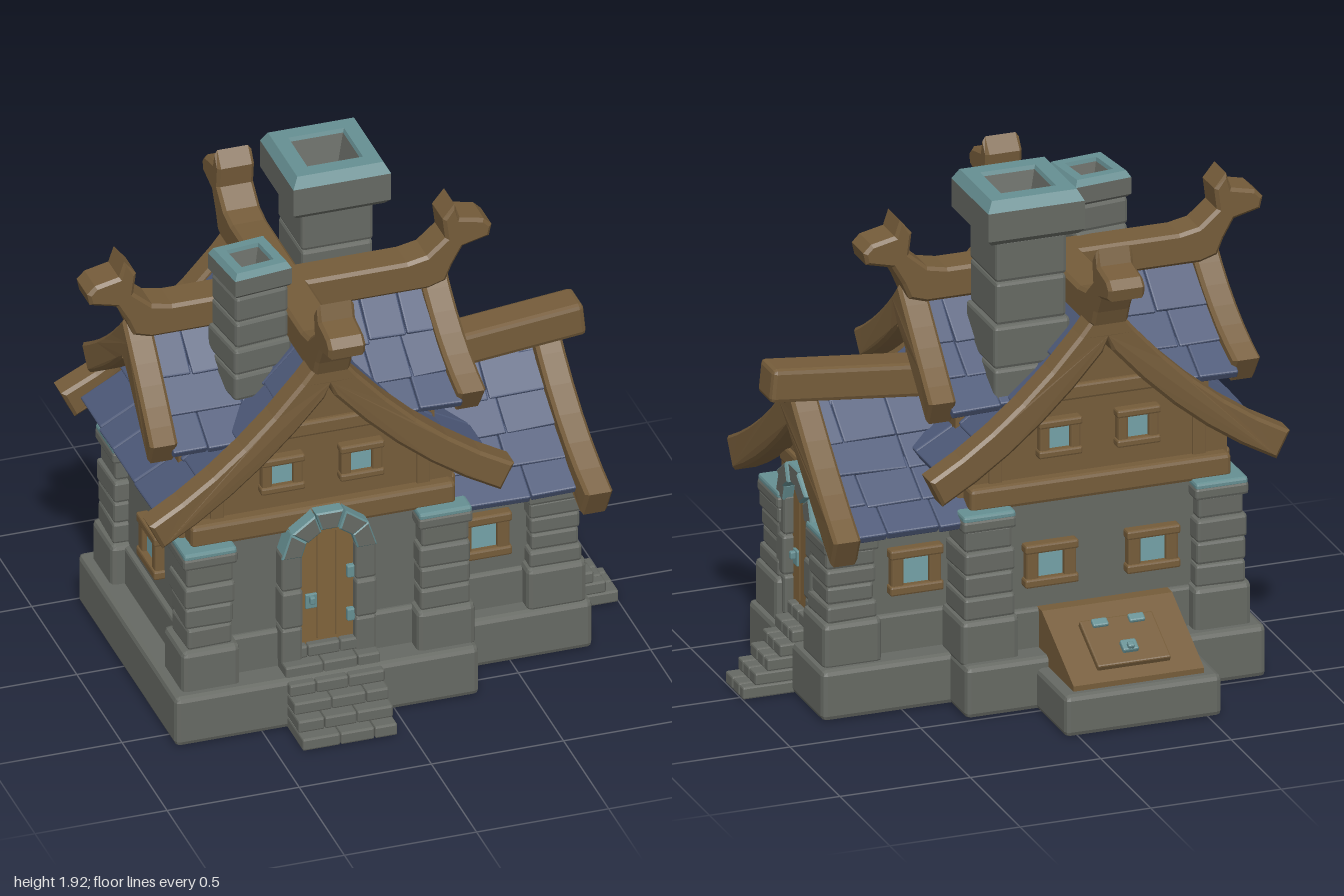
import * as THREE from 'three';
import { RoundedBoxGeometry } from 'three/addons/geometries/RoundedBoxGeometry.js';

const CX = -0.235, CZ = 0.055; // where the two main ridges cross
const flat = (color, name) => {
  const m = new THREE.MeshStandardMaterial({ color, flatShading: true });
  m.name = name;
  return m;
};

export function createModel() {
  const root = new THREE.Group();
  const stone = flat(0x666963, 'stone'), wood = flat(0x755c3a, 'wood'), doorWood = flat(0x80633b, 'doorWood');
  const slate = flat(0x4c5877, 'slate'), trim = flat(0x668f92, 'paleStone'), glass = flat(0x74a2a8, 'glass');

  let seed = 7;
  const rnd = (a, b) => {
    seed = (seed * 16807) % 2147483647;
    return a + (b - a) * seed / 2147483647;
  };
  const add = (parent, name, geo, mat, x = 0, y = 0, z = 0) => {
    const m = new THREE.Mesh(geo, mat);
    m.name = name;
    m.position.set(x, y, z);
    parent.add(m);
    return m;
  };
  const group = (name, x = 0, y = 0, z = 0, ry = 0, parent = root) => {
    const g = new THREE.Group();
    g.name = name;
    g.position.set(x, y, z);
    g.rotation.y = ry;
    parent.add(g);
    return g;
  };
  // chamfered block given by its centre
  const block = (parent, name, mat, w, h, d, x, y, z, r = 0.012) =>
    add(parent, name, new RoundedBoxGeometry(w, h, d, 1, Math.min(r, w / 3, h / 3, d / 3)), mat, x, y, z);
  // chamfered block given by its limits
  const span = (parent, name, mat, x0, x1, y0, y1, z0, z1, r) =>
    block(parent, name, mat, x1 - x0, y1 - y0, z1 - z0, (x0 + x1) / 2, (y0 + y1) / 2, (z0 + z1) / 2, r);
  const poly = pts => new THREE.Shape(pts.map(p => new THREE.Vector2(p[0], p[1])));
  const mirrored = half => [...half, ...half.slice().reverse().map(([x, y]) => [-x, y])];
  const prism = (parent, name, mat, pts, z0, z1, bevel = 0) => add(parent, name,
    new THREE.ExtrudeGeometry(poly(pts), { depth: z1 - z0 - 2 * bevel, bevelEnabled: bevel > 0, bevelSize: bevel,
      bevelThickness: bevel, bevelOffset: -bevel, bevelSegments: 1 }), mat, 0, 0, z0 + bevel);

  // Plinth, base courses and stone walls
  const base = group('stoneBase');
  span(base, 'mainPlinth', stone, -0.83, 0.32, 0.01, 0.21, -0.49, 0.6, 0.02);
  span(base, 'wingPlinth', stone, 0.2, 0.81, 0.01, 0.205, -0.33, 0.42, 0.02);
  span(base, 'mainCourse', stone, -0.74, 0.27, 0.18, 0.36, -0.39, 0.49);
  span(base, 'wingCourse', stone, 0.1, 0.715, 0.18, 0.35, -0.235, 0.345);
  span(base, 'mainWall', stone, -0.72, 0.25, 0.1, 0.78, -0.37, 0.47);
  span(base, 'wingWall', stone, 0.1, 0.7, 0.1, 0.73, -0.22, 0.33);

  // Corner pillars of stacked stones
  const pillar = (x, z, top, w) => {
    const g = group('cornerPillar', x, 0, z);
    block(g, 'footStone', stone, w + 0.035, 0.18, w + 0.035, 0, 0.28, 0, 0.02);
    const h = (top - 0.05 - 0.365) / 4;
    for (let i = 0; i < 4; i++) {
      const s = w + rnd(-0.014, 0.012);
      block(g, 'pillarStone', stone, s, h, s, 0, 0.365 + h * (i + 0.5), 0).rotation.y = rnd(-0.04, 0.04);
    }
    block(g, 'capStone', stone, w + 0.02, 0.05, w + 0.02, 0, top - 0.035, 0);
    block(g, 'capTop', trim, w + 0.015, 0.03, w + 0.015, 0, top - 0.008, 0);
  };
  for (const z of [0.45, -0.34]) for (const x of [-0.68, 0.21]) pillar(x, z, 0.765, 0.185);
  for (const z of [0.295, -0.185]) pillar(0.68, z, 0.69, 0.19);

  // Arched door with jambs, arch stones and steps; the wall is at local z = 0
  const entrance = (x, z, ry, stepW) => {
    const g = group('entrance', x, 0, z, ry);
    for (const s of [-1, 1]) {
      for (let i = 0; i < 3; i++) block(g, 'jambStone', stone, 0.08, 0.155, 0.08 + 0.01 * (i % 2), s * 0.14, 0.28 + 0.155 * (i + 0.5) - 0.05, 0.03);
    }
    for (let i = 0; i < 5; i++) {
      const a0 = Math.PI * i / 5 + 0.015, a1 = Math.PI * (i + 1) / 5 - 0.015;
      const pt = (r, a) => [r * Math.cos(a), 0.675 + r * Math.sin(a)];
      prism(g, 'archStone', [stone, trim], [pt(0.105, a0), pt(0.18, a0), pt(0.18, a1), pt(0.105, a1)], -0.02, 0.075 + 0.01 * (i % 2), 0.006);
    }
    const door = new THREE.Shape();
    door.moveTo(-0.11, 0.28);
    door.lineTo(0.11, 0.28);
    door.lineTo(0.11, 0.675);
    door.absarc(0, 0.675, 0.11, 0, Math.PI, false);
    add(g, 'door', new THREE.ExtrudeGeometry(door, { depth: 0.035, bevelEnabled: false, curveSegments: 5 }), doorWood);
    for (const px of [-0.035, 0.035]) block(g, 'doorGroove', wood, 0.006, 0.44, 0.006, px, 0.53, 0.036);
    for (const y of [0.39, 0.57]) block(g, 'hinge', trim, 0.03, 0.05, 0.03, 0.088, y, 0.04, 0.005);
    block(g, 'lockPlate', trim, 0.045, 0.06, 0.012, -0.06, 0.47, 0.04, 0.004);
    block(g, 'handle', trim, 0.02, 0.03, 0.03, -0.06, 0.48, 0.05, 0.005);
    for (let i = 0; i < 6; i++) { // steps of three bricks each
      const edge = 0.3 - 0.047 * i, cuts = [0, i % 2 ? 0.28 : 0.4, i % 2 ? 0.62 : 0.76, 1];
      for (let k = 0; k < 3; k++) {
        span(g, 'stepBrick', stone, (cuts[k] - 0.5) * stepW + 0.001, (cuts[k + 1] - 0.5) * stepW - 0.001,
          0.01 + 0.048 * i, 0.058 + 0.048 * i, -0.02, edge, 0.007);
      }
    }
  };
  entrance(-0.228, 0.47, 0, 0.36);
  entrance(0.7, 0.06, Math.PI / 2, 0.18);

  // Framed windows; the wall is at local z = 0
  const windowAt = (x, y, z, ry, w, h) => {
    const g = group('window', x, y, z, ry);
    block(g, 'pane', glass, w * 0.62, h * 0.72, 0.008, 0, 0, 0.012, 0.002);
    for (const s of [-1, 1]) {
      block(g, 'framePost', wood, w * 0.25, h, 0.045, s * w * 0.38, 0, 0.012, 0.008);
      block(g, 'frameRail', wood, w * 1.08, h * 0.22, 0.055, 0, s * h * 0.41, 0.014, 0.008);
    }
  };
  for (const dx of [-0.15, 0.15]) {
    windowAt(CX + dx, 1, 0.45, 0, 0.155, 0.14);
    windowAt(CX + dx, 1, -0.34, Math.PI, 0.155, 0.14);
    windowAt(CX + dx * 1.3, 0.53, -0.37, Math.PI, 0.19, 0.16);
  }
  windowAt(0.42, 0.515, 0.33, 0, 0.19, 0.17);
  windowAt(0.42, 0.515, -0.22, Math.PI, 0.19, 0.17);
  windowAt(-0.72, 0.53, CZ, -Math.PI / 2, 0.19, 0.17);
  windowAt(-0.72, 1.17, CZ, -Math.PI / 2, 0.15, 0.13);

  // Gabled roofs: ridge along local z, falling along +x and -x on a sagging curve
  const curveOf = r => new THREE.QuadraticBezierCurve(new THREE.Vector2(0, r.peak),
    new THREE.Vector2(r.ctrl[0], r.ctrl[1]), new THREE.Vector2(r.half, r.eave));
  const gableBoard = (parent, r, z, dir) => {
    const c = curveOf(r), top = c.getPoints(6), n = top.length - 1;
    const under = top.map((p, i) => {
      const t = c.getTangent(i / n);
      return i ? [p.x + t.y * r.board, p.y - t.x * r.board] : [0, p.y - r.board * 1.4];
    });
    const side = top.map(p => [p.x, p.y]);
    const pts = [...side, ...under.slice().reverse(), ...under.slice(1).map(([x, y]) => [-x, y]),
      ...side.slice(1).reverse().map(([x, y]) => [-x, y])];
    const m = prism(parent, 'gableBoard', wood, pts, z - 0.052, z + 0.052, 0.012);
    const p = m.geometry.attributes.position; // boards lean outward toward the eaves
    for (let i = 0; i < p.count; i++) p.setZ(i, p.getZ(i) + dir * 0.025 * (p.getX(i) / r.half) ** 2);
    m.geometry.computeVertexNormals();
  };
  const shingles = (parent, r, z0, z1, rows) => {
    const c = curveOf(r);
    for (const side of [0, Math.PI]) {
      const g = group('shingleSlope', 0, 0, 0, side, parent);
      const [a, b] = side ? [-z1, -z0] : [z0, z1];
      for (let i = 0; i < rows; i++) {
        const p = c.getPoint(i / rows * r.cover), q = c.getPoint((i + 1) / rows * r.cover);
        const ang = Math.atan2(q.y - p.y, q.x - p.x), len = p.distanceTo(q);
        for (let z = a; z < b - 0.01;) {
          let w = rnd(0.13, 0.24);
          if (b - z - w < 0.08) w = b - z;
          const tile = block(g, 'shingle', slate, len + rnd(0.03, 0.06), 0.035, w - 0.003,
            (p.x + q.x) / 2 + 0.008, (p.y + q.y) / 2 - r.drop, z + w / 2, 0.006);
          tile.rotation.z = ang + 0.08;
          tile.rotation.x = rnd(-0.035, 0.035);
          z += w;
        }
      }
    }
  };
  const mainRoof = { peak: 1.55, ctrl: [0.31, 1.13], half: 0.69, eave: 0.945, board: 0.115, cover: 0.87, drop: 0.075 };
  const crossRoof = { peak: 1.5, ctrl: [0.19, 1.295], half: 0.39, eave: 1.18, board: 0.11, cover: 0.9, drop: 0.07 };
  const wingRoof = { peak: 1.18, ctrl: [0.26, 0.91], half: 0.55, eave: 0.765, board: 0.125, cover: 0.78, drop: 0.1 };

  const main = group('mainRoof', CX, 0, CZ);
  prism(main, 'timberGable', wood, mirrored([[0.5, 0.76], [0.5, 0.95], [0.3, 1.09], [0, 1.41]]), -0.395, 0.395);
  shingles(main, mainRoof, -0.42, 0.42, 4);
  const cross = group('crossRoof', CX, 0, CZ, Math.PI / 2);
  prism(cross, 'timberDormer', wood, mirrored([[0.25, 0.92], [0.25, 1.15], [0, 1.38]]), -0.485, 0.485);
  shingles(cross, crossRoof, -0.55, 0.55, 3);
  const wing = group('wingRoof', 0, 0, CZ, Math.PI / 2);
  prism(wing, 'wingGable', wood, mirrored([[0.29, 0.7], [0.29, 0.77], [0, 1.04]]), 0.15, 0.71);
  shingles(wing, wingRoof, 0.25, 0.72, 4);
  for (const s of [-1, 1]) {
    gableBoard(main, mainRoof, s * 0.465, s);
    gableBoard(cross, crossRoof, s * 0.56, s);
    // beams and posts on the front and back gables
    block(main, 'sillBeam', wood, 1.0, 0.09, 0.07, 0, 0.805, s * 0.41, 0.015);
    block(main, 'collarBeam', wood, 0.56, 0.06, 0.03, 0, 1.16, s * 0.4);
    for (const x of [-0.39, 0.39]) block(main, 'gablePost', wood, 0.05, 0.26, 0.014, x, 0.95, s * 0.4, 0.004);
    block(main, 'sideSill', wood, 0.07, 0.08, 0.74, s * 0.49, 0.8, 0);
  }
  gableBoard(wing, wingRoof, 0.75, 1);
  block(wing, 'wingSill', wood, 0.56, 0.07, 0.05, 0, 0.8, 0.7);

  // Ridge beams with carved upturned ends
  const ridge = (parent, L) => {
    const end = [[0.24, 1.44], [0.175, 1.46], [0.15, 1.52], [0.11, 1.59], [0.01, 1.615], [0, 1.66], [0.03, 1.69],
      [0.12, 1.71], [0.14, 1.77], [0.185, 1.715], [0.175, 1.635], [0.245, 1.575], [0.32, 1.56]].map(([d, y]) => [L - d, y]);
    prism(parent, 'ridgeBeam', wood, mirrored(end), -0.07, 0.07, 0.012);
  };
  ridge(group('ridgeAlongX', CX, 0, CZ), 0.765);
  ridge(group('ridgeAlongZ', CX, 0, CZ, Math.PI / 2), 0.71);
  block(root, 'wingRidgeBeam', wood, 0.64, 0.13, 0.14, 0.565, 1.165, CZ, 0.018).rotation.z = 0.1;

  // Chimneys: stacked shaft, flared cap and open flue
  const chimney = (x, z, w, bottom, top, capW, capH, ry) => {
    const g = group('chimney', x, 0, z, ry), n = 4, h = (top - capH - bottom) / n;
    for (let i = 0; i < n; i++) {
      const s = w * (1 + 0.05 * (i % 2)) + 0.01 * (n - i);
      block(g, 'shaftStone', stone, s, h, s, 0, bottom + h * (i + 0.5), 0, 0.014);
    }
    const ring = (name, mat, pts) => add(g, name, new THREE.LatheGeometry(
      pts.map(([r, y]) => new THREE.Vector2(r * Math.SQRT2, y)), 4), mat).rotation.y = Math.PI / 4;
    const c = capW / 2, lip = top - capH * 0.24;
    ring('capBody', stone, [[0, top - capH], [c * 0.9, top - capH], [c, top - capH * 0.88], [c, lip]]);
    ring('capRim', trim, [[c, lip], [c * 0.88, top], [c * 0.57, top], [c * 0.54, top - 0.015]]);
    ring('flue', stone, [[c * 0.54, top - 0.015], [c * 0.36, top - capH * 0.8], [0, top - capH * 0.8]]);
  };
  chimney(-0.005, -0.157, 0.25, 1.1, 1.93, 0.37, 0.17, 0);
  chimney(-0.42, 0.22, 0.19, 1.25, 1.775, 0.225, 0.1, 0.12);

  // Cellar hatch at the back: an open stone curb under a sloping lid
  const cellar = group('cellar');
  for (const x of [-0.55, -0.03]) span(cellar, 'curbSide', stone, x, x + 0.08, 0.01, 0.17, -0.78, -0.42, 0.02);
  span(cellar, 'curbBack', stone, -0.54, 0.04, 0.01, 0.17, -0.78, -0.7, 0.02);
  const wedge = group('cellarSlope', -0.245, 0, 0, Math.PI / 2, cellar);
  prism(wedge, 'slopeBoards', wood, [[0.36, 0.15], [0.74, 0.15], [0.74, 0.19], [0.42, 0.36], [0.36, 0.36]], -0.25, 0.25);
  const hatch = group('hatch', -0.245, 0.27, -0.595, 0, cellar);
  hatch.rotation.x = -0.488;
  block(hatch, 'hatchPanel', wood, 0.28, 0.03, 0.22, 0, 0.005, 0, 0.006);
  for (const s of [-1, 1]) block(hatch, 'hatchHinge', trim, 0.06, 0.025, 0.035, s * 0.07, 0.02, 0.085, 0.006);
  block(hatch, 'hatchLock', trim, 0.06, 0.025, 0.05, 0, 0.025, -0.04, 0.006);
  block(hatch, 'hatchRing', trim, 0.025, 0.025, 0.025, 0, 0.04, -0.05, 0.006);
  return root;
}
